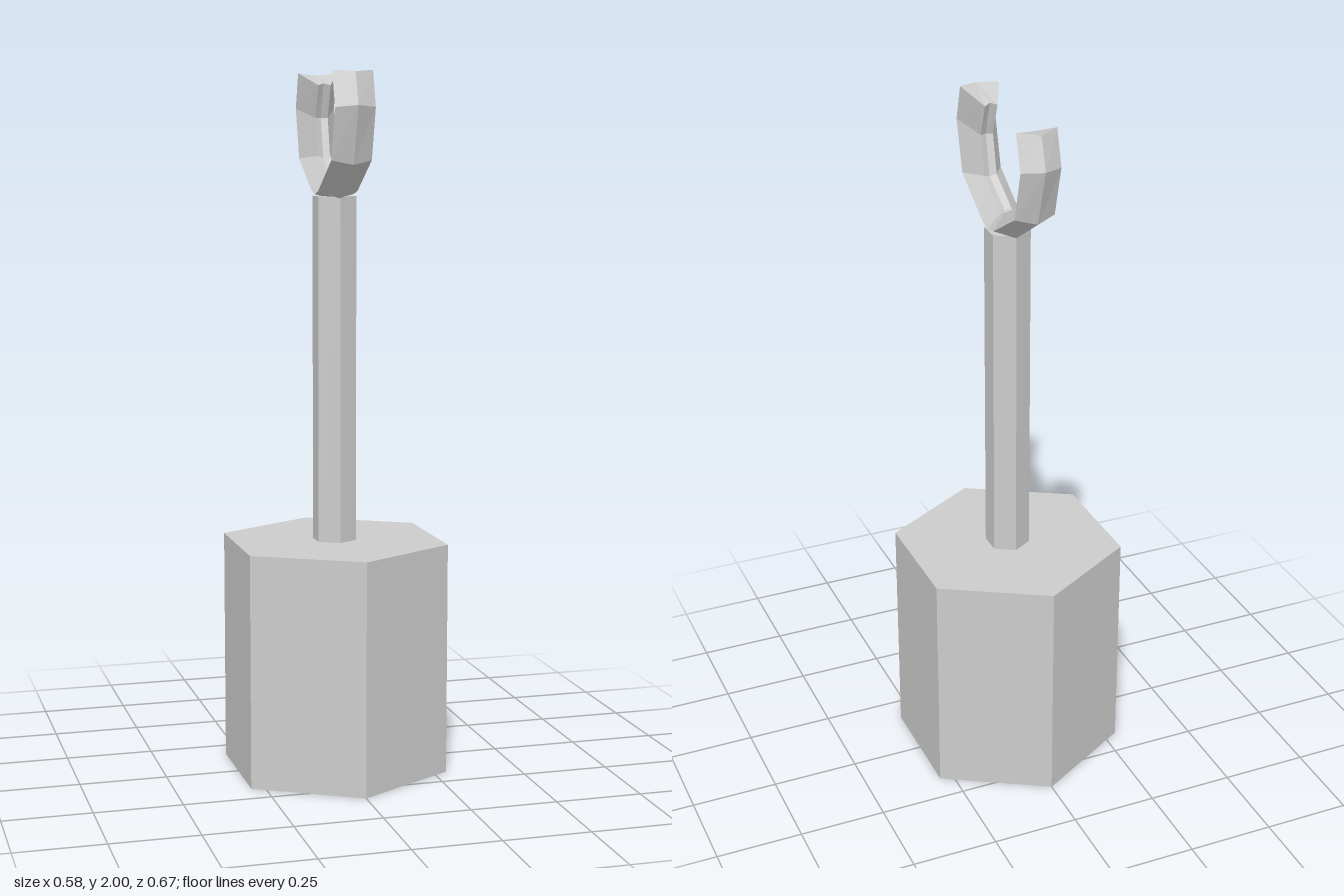
import * as THREE from 'three';

const material = new THREE.MeshStandardMaterial({ color: 0xcccccc, flatShading: true });

function hexPrism(name, radius, bottom, top) {
  const mesh = new THREE.Mesh(new THREE.CylinderGeometry(radius, radius, top - bottom, 6), material);
  mesh.position.y = (bottom + top) / 2;
  mesh.name = name;
  return mesh;
}

// Six-sided section: outer ridge, wide shoulders, narrow grooved inner edge; each point is [z, y]
function ring([outer, side, inner, groove]) {
  const w = 0.057, n = 0.018;
  return [[0, outer], [w, side], [n, inner], [0, groove], [-n, inner], [-w, side]]
    .map(([x, [z, y]]) => [x, y, z]);
}

// Skin consecutive rings and close both ends
function loft(rings) {
  const n = rings[0].length, index = [];
  for (let s = 0; s < rings.length - 1; s++) {
    for (let i = 0; i < n; i++) {
      const a = s * n + i, b = s * n + (i + 1) % n;
      index.push(a, a + n, b, b, a + n, b + n);
    }
  }
  const last = (rings.length - 1) * n;
  for (let i = 1; i < n - 1; i++) {
    index.push(0, i, i + 1, last, last + i + 1, last + i);
  }
  const geometry = new THREE.BufferGeometry();
  geometry.setAttribute('position', new THREE.Float32BufferAttribute(rings.flat(2), 3));
  geometry.setIndex(index);
  const flat = geometry.toNonIndexed();
  flat.computeVertexNormals();
  return flat;
}

export function createModel() {
  const group = new THREE.Group();
  group.add(hexPrism('base', 0.334, 0, 0.67));
  group.add(hexPrism('pole', 0.064, 0.67, 1.655));

  // Fork: one arm from tip to centre, mirrored to the other side
  const arm = [
    [[0.232, 1.995], [0.2, 2.0], [0.115, 1.965], [0.125, 1.97]],
    [[0.262, 1.905], [0.23, 1.9], [0.148, 1.873], [0.157, 1.873]],
    [[0.212, 1.745], [0.19, 1.757], [0.122, 1.765], [0.13, 1.76]],
    [[0.064, 1.65], [0.04, 1.67], [0.02, 1.708], [0.02, 1.7]],
  ].map(ring);
  const centre = ring([[0, 1.645], [0, 1.66], [0, 1.703], [0, 1.695]]);
  const mirrored = arm.map(r => r.map(([x, y, z]) => [x, y, -z])).reverse();
  const fork = new THREE.Mesh(loft([...arm, centre, ...mirrored]), material);
  fork.rotation.y = -0.02;
  fork.name = 'fork';
  group.add(fork);
  return group;
}
